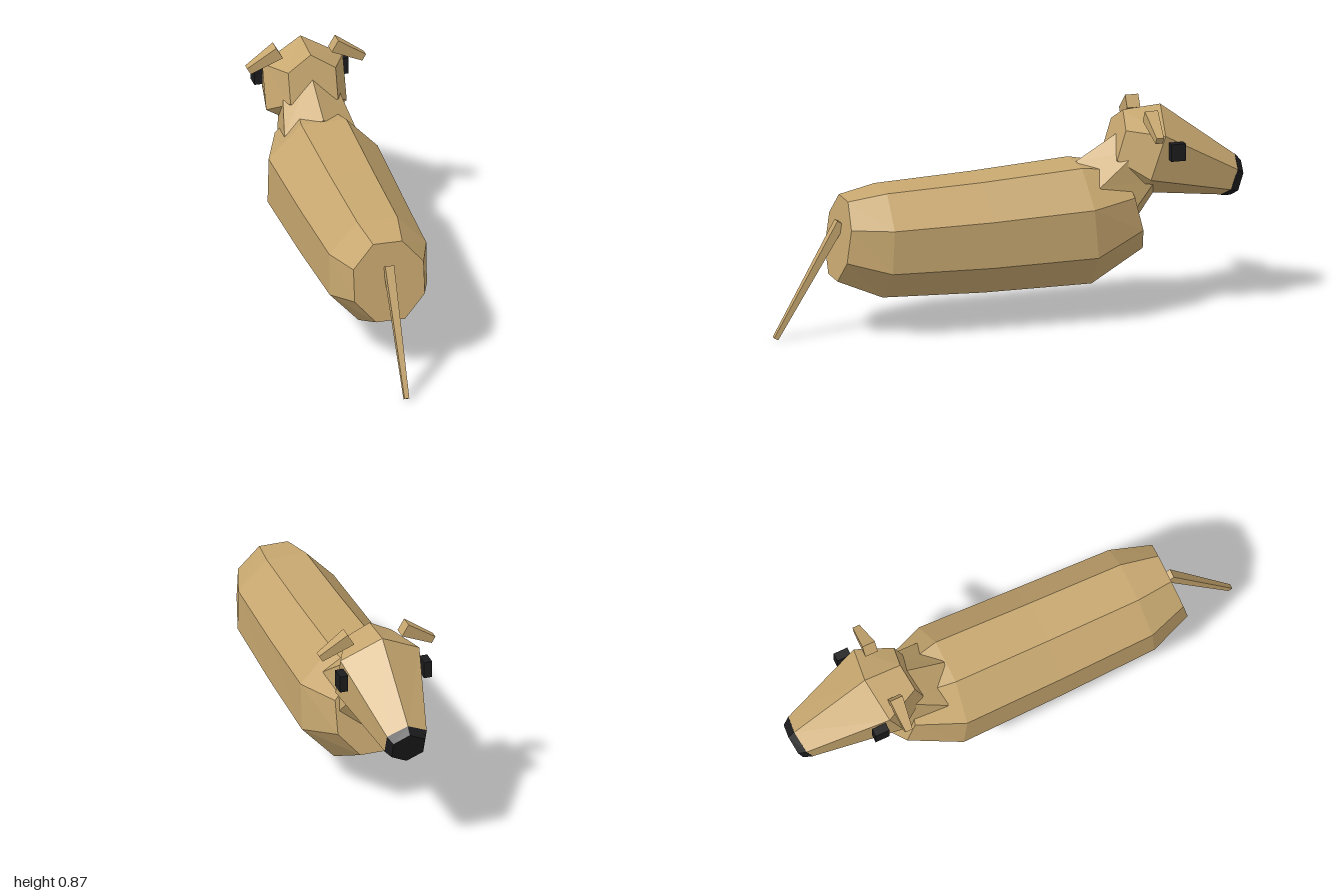
import * as THREE from 'three';

const tan = new THREE.MeshStandardMaterial({ color: 0xc8a870, flatShading: true });
const black = new THREE.MeshStandardMaterial({ color: 0x1c1c1e, flatShading: true });

// Tilted n-sided ring given by its top and bottom [y, z] and its half width.
function ring(n, turn, [topY, topZ], [botY, botZ], halfWidth) {
  const angles = Array.from({ length: n }, (_, i) => ((i + turn) / n) * Math.PI * 2);
  const maxSin = Math.max(...angles.map(Math.sin));
  const maxCos = Math.max(...angles.map(Math.cos));
  return angles.map((a) => {
    const t = 0.5 - Math.cos(a) / maxCos / 2;
    return [
      (halfWidth * Math.sin(a)) / maxSin,
      topY + (botY - topY) * t,
      topZ + (botZ - topZ) * t,
    ];
  });
}

// Faceted skin over rings ordered from the +z end to the -z end, capped at both ends.
function loft(rings) {
  const n = rings[0].length;
  const last = rings[rings.length - 1];
  const pos = [];
  const tri = (...corners) => corners.forEach((p) => pos.push(...p));
  for (let r = 0; r < rings.length - 1; r++) {
    for (let j = 0; j < n; j++) {
      const k = (j + 1) % n;
      tri(rings[r][j], rings[r][k], rings[r + 1][k]);
      tri(rings[r][j], rings[r + 1][k], rings[r + 1][j]);
    }
  }
  for (let j = 1; j < n - 1; j++) {
    tri(rings[0][0], rings[0][j + 1], rings[0][j]);
    tri(last[0], last[j], last[j + 1]);
  }
  const geo = new THREE.BufferGeometry();
  geo.setAttribute('position', new THREE.Float32BufferAttribute(pos, 3));
  geo.computeVertexNormals();
  return geo;
}

// Square bar tapering from one point to another.
function taperedBar(from, to, fromSide, toSide) {
  const a = new THREE.Vector3(...from);
  const dir = new THREE.Vector3(...to).sub(a);
  const geo = new THREE.CylinderGeometry(toSide / Math.SQRT2, fromSide / Math.SQRT2, dir.length(), 4);
  geo.rotateY(Math.PI / 4);
  const q = new THREE.Quaternion().setFromUnitVectors(new THREE.Vector3(0, 1, 0), dir.clone().normalize());
  geo.applyQuaternion(q);
  const mid = a.addScaledVector(dir, 0.5);
  return geo.translate(mid.x, mid.y, mid.z);
}

export function createModel() {
  const group = new THREE.Group();
  const add = (name, geo, material = tan) => {
    const mesh = new THREE.Mesh(geo, material);
    mesh.name = name;
    group.add(mesh);
  };
  const oct = (top, bottom, w) => ring(8, 0.5, top, bottom, w);
  const hex = (top, bottom, w) => ring(6, 0, top, bottom, w);

  // Eight-sided barrel body
  add('body', loft([
    oct([0.575, 0.7], [0.242, 0.745], 0.148),
    oct([0.602, 0.54], [0.165, 0.56], 0.205),
    oct([0.616, 0.13], [0.15, 0.13], 0.218),
    oct([0.64, -0.29], [0.15, -0.33], 0.23),
    oct([0.61, -0.475], [0.272, -0.56], 0.15),
  ]));

  // Six-sided neck, tapering up into the head
  add('neck', loft([
    hex([0.645, -0.295], [0.33, -0.515], 0.15),
    hex([0.765, -0.495], [0.5, -0.635], 0.11),
  ]));

  // Head with ridged brow and long muzzle
  add('head', loft([
    hex([0.846, -0.495], [0.6, -0.42], 0.1),
    hex([0.857, -0.655], [0.495, -0.53], 0.17),
    hex([0.615, -0.975], [0.45, -0.915], 0.085),
  ]));

  // Nose tip
  add('nose', loft([
    hex([0.617, -0.974], [0.448, -0.914], 0.086),
    hex([0.588, -1], [0.445, -0.955], 0.068),
  ]), black);

  // Eyes and ears, mirrored
  for (const [side, s] of [['left', 1], ['right', -1]]) {
    const eye = new THREE.BoxGeometry(0.035, 0.072, 0.062).translate(s * 0.181, 0.701, -0.67);
    add(side + 'Eye', eye, black);
    add(side + 'Ear', taperedBar([s * 0.117, 0.844, -0.575], [s * 0.243, 0.771, -0.575], 0.056, 0.031));
  }

  // Thin tail hanging behind
  add('tail', taperedBar([0, 0.475, 0.715], [0, 0.005, 0.991], 0.038, 0.02));

  return group;
}
